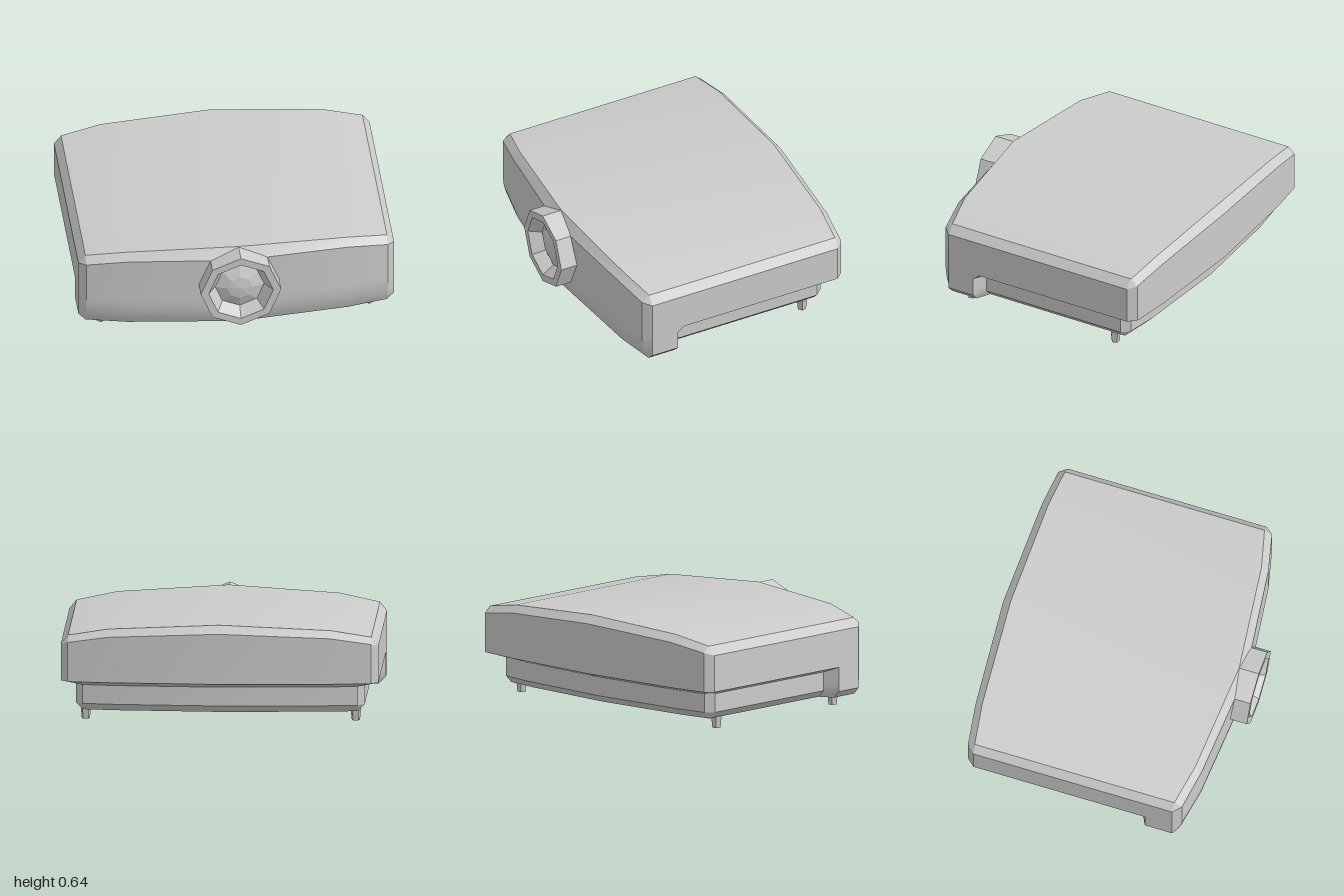
import * as THREE from 'three';
import { toCreasedNormals } from 'three/addons/utils/BufferGeometryUtils.js';

const material = new THREE.MeshStandardMaterial({ color: 0xcccccc, side: THREE.DoubleSide });
const flat = new THREE.MeshStandardMaterial({ color: 0xcccccc, flatShading: true });

// Half outlines seen from above, [x, z] from front centre round the +x side to back centre
const OUTER = [[0, .755], [.7, .685], [.955, .63], [1, .58], [1, .4], [1, .355], [1, -.73], [.955, -.78], [.7, -.81], [0, -.845]];
const TOP = [[0, .71], [.7, .64], [.955, .58], [.955, .58], [.955, .4], [.955, .355], [.955, -.735], [.955, -.735], [.7, -.765], [0, -.795]];
const RECESSED = [...OUTER.slice(0, 5), [.91, .355], [.91, -.63], [.865, -.68], [.65, -.71], [0, -.745]];
const BOTTOM = [[0, .715], [.7, .642], [.955, .585], [.955, .585], [.955, .4], [.865, .355], [.865, -.635], [.865, -.635], [.65, -.665], [0, -.7]];

// Full ring from a half outline; y is a number or one height per point
function ring(half, y, frontInset = 0) {
  const pts = half.map(([x, z], i) => [x, Array.isArray(y) ? y[i] : y, i < 3 ? z - frontInset : z]);
  const mirrored = pts.slice(1, -1).reverse().map(([x, h, z]) => [-x, h, z]);
  return [...pts, ...mirrored];
}

function shellGeometry() {
  const rings = [
    ring(BOTTOM, .07),
    ring(RECESSED, .115, .022),
    ring(RECESSED, .165, .008),
    ring(RECESSED, .235),
    ring(OUTER, .27),
    ring(OUTER, [.565, .56, .52, .505, .505, .505, .505, .52, .56, .59]),
    ring(TOP, [.64, .605, .56, .56, .56, .56, .56, .56, .605, .64]),
  ];
  const pos = [];
  const tri = (a, b, c) => pos.push(...a, ...b, ...c);
  const quad = (a, b, c, d) => { tri(a, b, c); tri(a, c, d); };
  const n = rings[0].length;

  // Walls and bevels
  for (let r = 0; r < rings.length - 1; r++) {
    for (let i = 0; i < n; i++) {
      const j = (i + 1) % n;
      quad(rings[r][i], rings[r][j], rings[r + 1][j], rings[r + 1][i]);
    }
  }
  // Flat underside
  for (let i = 0; i < n; i++) tri([0, .07, 0], rings[0][(i + 1) % n], rings[0][i]);

  // Arched lid, in strips from front to back
  const t = rings[rings.length - 1];
  const strips = [[n - 2, 11], [n - 1, 10], [0, 9], [1, 8], [2, 7]];
  strips[0] = [n - 2, 11];
  for (let s = 0; s < strips.length - 1; s++) {
    const [f0, b0] = strips[s], [f1, b1] = strips[s + 1];
    quad(t[f0], t[f1], t[b1], t[b0]);
  }
  const g = new THREE.BufferGeometry();
  g.setAttribute('position', new THREE.Float32BufferAttribute(pos, 3));
  return toCreasedNormals(g, .45);
}

export function createModel() {
  const group = new THREE.Group();
  const add = (name, geometry, mat) => {
    const mesh = new THREE.Mesh(geometry, mat);
    mesh.name = name;
    group.add(mesh);
    return mesh;
  };

  add('housing', shellGeometry(), material);

  // Octagonal lens barrel with a tapered opening, and the domed glass inside it
  const turned = (profile) => new THREE.LatheGeometry(profile.map(([r, z]) => new THREE.Vector2(r, z)), 8).rotateX(Math.PI / 2);
  add('lensBarrel', turned([[.255, .68], [.255, .84], [.205, .84], [.155, .765]]), flat).position.y = .382;
  add('lens', turned([[.155, .765], [.08, .795], [0, .805]]), flat).position.y = .382;

  // Tapered feet
  for (const x of [-.85, .85]) {
    for (const z of [.5, -.555]) {
      add('foot', new THREE.CylinderGeometry(.035, .027, .075, 5), flat).position.set(x, .0375, z);
    }
  }
  return group;
}
